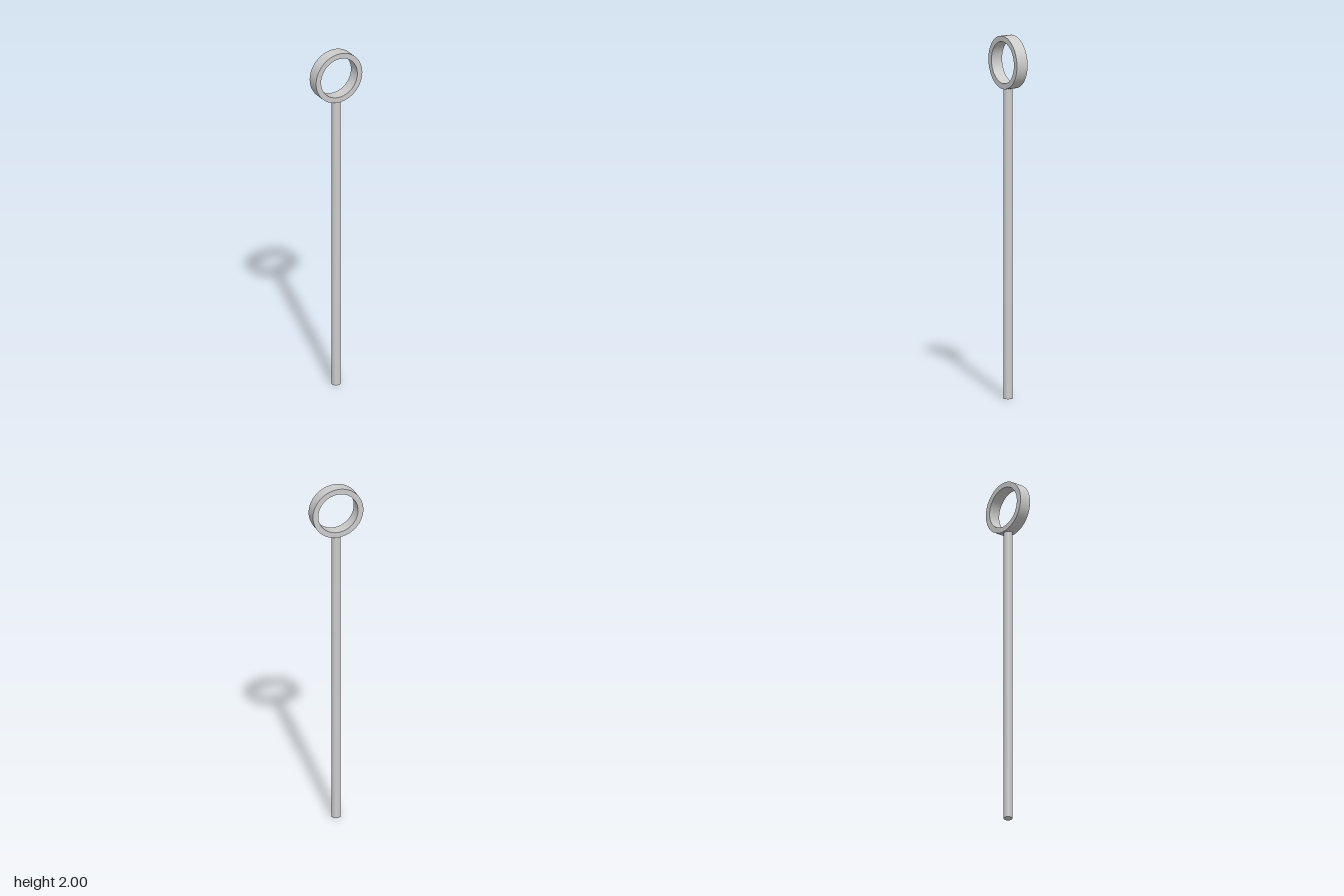
import * as THREE from 'three';
import { toCreasedNormals } from 'three/addons/utils/BufferGeometryUtils.js';

const OUTER = 0.146, INNER = 0.115, HALF_DEPTH = 0.034;
const RING_Y = 2 - OUTER;
const POLE_RADIUS = 0.025;

export function createModel() {
  const model = new THREE.Group();
  const material = new THREE.MeshStandardMaterial({ color: 0xcccccc });

  const addPart = (name, geometry) => {
    const mesh = new THREE.Mesh(geometry, material);
    mesh.name = name;
    model.add(mesh);
    return mesh;
  };

  // Hoop: rectangular section revolved, with its axis turned to face the front
  const section = [
    [OUTER, -HALF_DEPTH], [OUTER, HALF_DEPTH],
    [INNER, HALF_DEPTH], [INNER, -HALF_DEPTH], [OUTER, -HALF_DEPTH],
  ].map(([r, d]) => new THREE.Vector2(r, d));
  const hoop = addPart('hoop', toCreasedNormals(new THREE.LatheGeometry(section, 64), Math.PI / 6));
  hoop.rotation.x = Math.PI / 2;
  hoop.position.y = RING_Y;

  // Pole: its top end is buried inside the hoop's wall
  const poleHeight = RING_Y - (OUTER + INNER) / 2;
  const pole = addPart('pole', new THREE.CylinderGeometry(POLE_RADIUS, POLE_RADIUS, poleHeight, 32));
  pole.position.y = poleHeight / 2;

  return model;
}
